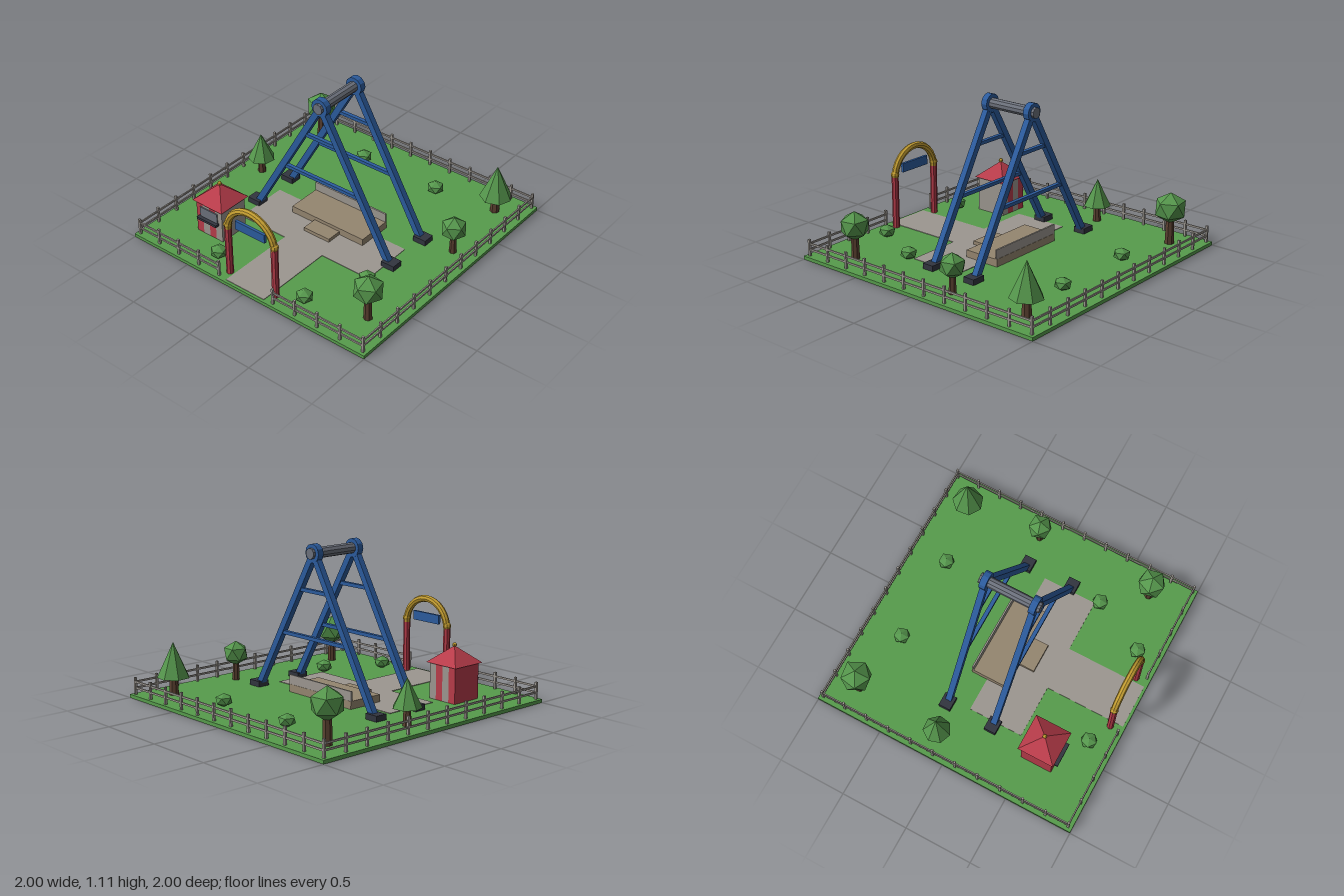
import * as THREE from 'three';

const paint = (name, color) => {
  const m = new THREE.MeshStandardMaterial({ color });
  m.name = name;
  return m;
};

export function createModel() {
  const grass = paint('grassGreen', 0x579c4c);
  const leaf = paint('leafGreen', 0x55964c);
  const bark = paint('barkBrown', 0x5a4030);
  const blue = paint('steelBlue', 0x2c5c9e);
  const slate = paint('slateGrey', 0x6c717c);
  const dark = paint('charcoal', 0x32353f);
  const red = paint('boothRed', 0xb83c4a);
  const gold = paint('gold', 0xc29c30);
  const tan = paint('deckTan', 0x958670);
  const grey = paint('pavingGrey', 0x9c9790);

  const model = new THREE.Group();
  model.name = 'swingRidePark';
  const group = (name) => {
    const g = new THREE.Group();
    g.name = name;
    model.add(g);
    return g;
  };
  const add = (parent, name, geo, mat, x = 0, y = 0, z = 0) => {
    const mesh = new THREE.Mesh(geo, mat);
    mesh.name = name;
    mesh.position.set(x, y, z);
    parent.add(mesh);
    return mesh;
  };
  // Faceted normals for the low-poly look
  const facet = (geo) => {
    const g = geo.index ? geo.toNonIndexed() : geo;
    g.computeVertexNormals();
    return g;
  };
  // Box given by its limits on each axis
  const block = (parent, name, mat, x0, x1, y0, y1, z0, z1) =>
    add(parent, name, new THREE.BoxGeometry(x1 - x0, y1 - y0, z1 - z0), mat,
      (x0 + x1) / 2, (y0 + y1) / 2, (z0 + z1) / 2);
  const cyl = (r0, r1, h, n) => facet(new THREE.CylinderGeometry(r0, r1, h, n));
  // Icosahedron standing on a vertex
  const ico = (r, sy) => facet(new THREE.IcosahedronGeometry(r, 0)
    .rotateX(-Math.atan2((1 + Math.sqrt(5)) / 2, 1)).scale(1, sy, 1));

  // Ground and paving
  const G = 0.025;
  const site = group('site');
  block(site, 'lawn', grass, -1, 1, 0, G, -1, 1);
  block(site, 'plaza', grey, -0.56, 0.56, G, G + 0.004, -0.02, 0.385);
  block(site, 'walkway', grey, -0.165, 0.165, G, G + 0.004, 0.385, 0.98);

  // Boarding deck
  const deck = group('boardingDeck');
  block(deck, 'deckFloor', tan, -0.312, 0.312, G, 0.08, -0.14, 0.13);
  block(deck, 'deckStep', tan, -0.11, 0.11, G, 0.055, 0.13, 0.245);
  block(deck, 'deckBackWall', grey, -0.312, 0.312, 0.08, 0.147, -0.138, -0.126);

  // Two A-frames joined by an axle
  const ride = group('rideFrame');
  const top = new THREE.Vector2(0, 1.04), foot = new THREE.Vector2(0.575, 0.04);
  const legLength = top.distanceTo(foot);
  for (const z of [-0.18, 0.18]) {
    for (const s of [-1, 1]) {
      const leg = add(ride, 'frameLeg', new THREE.BoxGeometry(0.045, legLength, 0.044), blue,
        s * foot.x / 2, (top.y + foot.y) / 2, z);
      leg.rotation.z = s * Math.atan2(foot.x, top.y - foot.y);
      block(ride, 'frameFoot', dark, s * 0.593 - 0.051, s * 0.593 + 0.051, G, 0.065, z - 0.044, z + 0.044);
    }
    block(ride, 'upperCrossbar', blue, -0.16, 0.16, 0.767, 0.792, z - 0.014, z + 0.014);
    block(ride, 'lowerCrossbar', blue, -0.33, 0.33, 0.443, 0.468, z - 0.014, z + 0.014);
    add(ride, 'axleHub', cyl(0.065, 0.065, 0.046, 12), blue, 0, 1.04, z).rotation.x = Math.PI / 2;
  }
  add(ride, 'axle', cyl(0.038, 0.038, 0.445, 10), slate, 0, 1.04, 0).rotation.x = Math.PI / 2;

  // Entrance arch
  const gate = group('entranceArch');
  for (const s of [-1, 1]) {
    add(gate, 'archColumn', cyl(0.025, 0.025, 0.385, 8), red, s * 0.2, G + 0.1925, 0.9);
    add(gate, 'archBall', facet(new THREE.SphereGeometry(0.03, 8, 6)), gold, s * 0.2, 0.42, 0.9);
  }
  add(gate, 'archCurve', facet(new THREE.TorusGeometry(0.2, 0.025, 8, 16, Math.PI)), gold, 0, 0.39, 0.9);
  block(gate, 'archSign', blue, -0.125, 0.125, 0.42, 0.486, 0.89, 0.91);

  // Ticket booth with striped walls
  const booth = group('ticketBooth');
  const bx = -0.577, bz = 0.573;
  for (let i = 0; i < 4; i++) {
    const x0 = bx - 0.116 + i * 0.058;
    block(booth, 'wallStripe', i % 2 ? grey : red, x0, x0 + 0.058, G, 0.28, bz - 0.116, bz + 0.116);
  }
  block(booth, 'boothWindow', slate, bx - 0.078, bx + 0.078, 0.165, 0.24, bz + 0.116, bz + 0.124);
  block(booth, 'boothCounter', dark, bx - 0.088, bx + 0.088, 0.148, 0.166, bz + 0.116, bz + 0.15);
  const roofGeo = facet(new THREE.ConeGeometry(0.135 * Math.SQRT2, 0.117, 4).rotateY(Math.PI / 4));
  add(booth, 'boothRoof', roofGeo, red, bx, 0.336, bz);
  add(booth, 'roofBall', facet(new THREE.SphereGeometry(0.016, 8, 6)), gold, bx, 0.4, bz);

  // Round-crowned trees: x, z, radius, crown height
  const trees = group('trees');
  const trunk = (x, z, h, r) => add(trees, 'treeTrunk', cyl(r * 0.8, r, h, 7), bark, x, G + h / 2, z);
  for (const [x, z, r, y] of [[-0.79, -0.78, 0.118, 0.285], [0.8, 0.7, 0.108, 0.26], [0.825, -0.205, 0.093, 0.22]]) {
    trunk(x, z, y - G, r * 0.28);
    add(trees, 'roundCrown', ico(r, 0.96), leaf, x, y, z).rotation.y = x * 3;
  }
  // Conical trees: x, z, radius, crown base, crown tip
  for (const [x, z, r, y0, y1] of [[0.785, -0.78, 0.115, 0.15, 0.397], [-0.825, -0.13, 0.1, 0.145, 0.342]]) {
    trunk(x, z, y0 - G, r * 0.3);
    add(trees, 'coneCrown', facet(new THREE.ConeGeometry(r, y1 - y0, 7)), leaf, x, (y0 + y1) / 2, z).rotation.y = x;
  }

  // Bushes
  const bushes = group('bushes');
  for (const [x, z] of [[-0.325, -0.705], [0.325, -0.705], [-0.375, 0.82], [0.375, 0.82], [0.575, 0.42]])
    add(bushes, 'bush', ico(0.063, 0.75), leaf, x, 0.066, z);

  // Perimeter fence, open at the front gate
  const fence = group('fence');
  const E = 0.97;
  const run = (x0, z0, x1, z1, n) => {
    const len = Math.hypot(x1 - x0, z1 - z0);
    for (let i = 0; i <= n; i++) {
      const t = i / n;
      add(fence, 'fencePost', new THREE.BoxGeometry(0.016, 0.12, 0.016), grey,
        x0 + (x1 - x0) * t, G + 0.06, z0 + (z1 - z0) * t);
    }
    for (const y of [0.072, 0.115])
      add(fence, 'fenceRail', new THREE.BoxGeometry(len, 0.013, 0.009), grey,
        (x0 + x1) / 2, y, (z0 + z1) / 2).rotation.y = -Math.atan2(z1 - z0, x1 - x0);
  };
  run(-E, -E, E, -E, 11);
  for (const s of [-1, 1]) {
    run(s * E, -E, s * E, E, 11);
    run(s * E, E, s * 0.235, E, 4);
  }
  return model;
}
